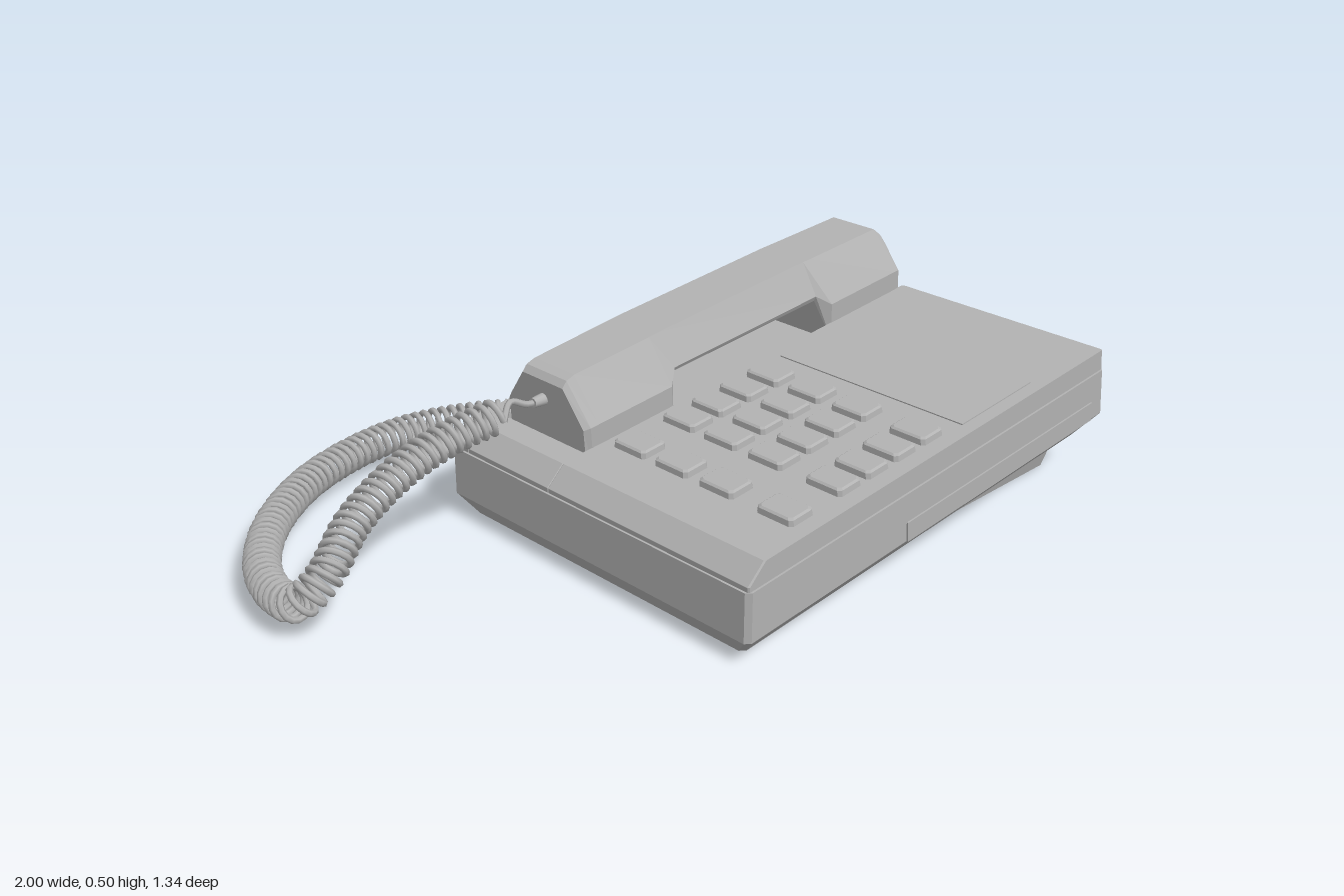
import * as THREE from 'three';

const grey = new THREE.MeshStandardMaterial({ color: 0xb2b2b2 });

// Closed, flat-faced solid through a list of equal-length rings
function loft(name, rings) {
  const pos = [], n = rings[0].length;
  const tri = (a, b, c) => pos.push(...a, ...b, ...c);
  for (let r = 0; r < rings.length - 1; r++) {
    for (let i = 0; i < n; i++) {
      const j = (i + 1) % n, p = rings[r], q = rings[r + 1];
      tri(p[i], p[j], q[j]);
      tri(p[i], q[j], q[i]);
    }
  }
  const first = rings[0], last = rings[rings.length - 1];
  for (let i = 1; i < n - 1; i++) {
    tri(first[0], first[i + 1], first[i]);
    tri(last[0], last[i], last[i + 1]);
  }
  const g = new THREE.BufferGeometry();
  g.setAttribute('position', new THREE.Float32BufferAttribute(pos, 3));
  g.computeVertexNormals();
  const mesh = new THREE.Mesh(g, grey);
  mesh.name = name;
  return mesh;
}

// Stack of rectangles [y, x0, x1, z0, z1] with cut corners
function stack(name, layers, c = 0.004) {
  return loft(name, layers.map(([y, x0, x1, z0, z1]) => [
    [x0, y, z0 + c], [x0, y, z1 - c], [x0 + c, y, z1], [x1 - c, y, z1],
    [x1, y, z1 - c], [x1, y, z0 + c], [x1 - c, y, z0], [x0 + c, y, z0],
  ]));
}

function box(name, x0, x1, y0, y1, z0, z1) {
  const mesh = new THREE.Mesh(new THREE.BoxGeometry(x1 - x0, y1 - y0, z1 - z0), grey);
  mesh.position.set((x0 + x1) / 2, (y0 + y1) / 2, (z0 + z1) / 2);
  mesh.name = name;
  return mesh;
}

// Helix wound around a guide curve
class CoilCurve extends THREE.Curve {
  constructor(guide, turns, radius) {
    super();
    Object.assign(this, { guide, turns, radius, arcLengthDivisions: 6000 });
  }
  getPoint(t, target = new THREE.Vector3()) {
    const tangent = this.guide.getTangentAt(t);
    const side = new THREE.Vector3(0, 1, 0).cross(tangent).normalize();
    const up = tangent.clone().cross(side);
    const a = t * this.turns * Math.PI * 2;
    return target.copy(this.guide.getPointAt(t))
      .addScaledVector(side, Math.cos(a) * this.radius)
      .addScaledVector(up, Math.sin(a) * this.radius);
  }
}

const spline = (pts) => new THREE.CatmullRomCurve3(pts.map((p) => new THREE.Vector3(...p)));

function tube(name, curve, segments, radius, sides) {
  const mesh = new THREE.Mesh(new THREE.TubeGeometry(curve, segments, radius, sides), grey);
  mesh.name = name;
  return mesh;
}

export function createModel() {
  const model = new THREE.Group();
  model.name = 'deskTelephone';

  // Sloping body; everything on it is built level, then tilted
  const body = new THREE.Group();
  body.name = 'body';
  body.position.y = 0.033;
  body.rotation.z = 0.086;
  model.add(body);

  body.add(stack('lowerShell', [
    [0, -0.32, 0.915, -0.27, 0.62],
    [0.055, -0.35, 0.975, -0.315, 0.665],
    [0.178, -0.34, 0.97, -0.315, 0.665],
  ], 0.012));

  // Lid around the handset cradle
  const lid = (name, x0, x1, z0, z1) => stack(name, [
    [0.175, x0, x1, z0, z1],
    [0.19, x0, x1, z0, z1],
    [0.232, x0 < -0.3 ? x0 + 0.052 : x0, x1 - 0.003, z0, z1],
  ]);
  body.add(lid('frontLid', -0.335, 0.966, 0.032, 0.66));
  body.add(lid('backLid', -0.335, 0.966, -0.31, -0.252));
  body.add(lid('leftLid', -0.335, -0.215, -0.256, 0.036));

  // Push buttons
  const keys = new THREE.Group();
  keys.name = 'keys';
  for (const x of [-0.115, 0.045, 0.142, 0.24, 0.338]) {
    for (const z of [0.115, 0.25, 0.39, 0.565]) {
      keys.add(stack('key', [
        [0.23, x - 0.039, x + 0.039, z - 0.053, z + 0.053],
        [0.246, x - 0.037, x + 0.037, z - 0.051, z + 0.051],
        [0.25, x - 0.032, x + 0.032, z - 0.046, z + 0.046],
      ], 0.008));
    }
  }
  body.add(keys);

  // Index card panel, edge drawers and the pull tab
  body.add(box('cardPanel', 0.435, 0.705, 0.23, 0.235, 0.06, 0.625));
  body.add(box('frontDrawer', 0.18, 0.915, 0.055, 0.105, 0.66, 0.669));
  body.add(box('backDrawer', 0.4, 0.9, 0.06, 0.105, -0.319, -0.31));
  body.add(box('pullTab', 0.95, 1.013, 0.137, 0.158, -0.2, -0.01));

  // Handset sections: [x, yBottom, halfBottom, yMid, halfMid, yTop, halfTop]
  const zc = -0.108;
  const sections = [
    [-0.205, 0.18, 0.132, 0.28, 0.132, 0.37, 0.07],
    [-0.19, 0.18, 0.14, 0.284, 0.142, 0.385, 0.07],
    [-0.165, 0.18, 0.14, 0.285, 0.143, 0.391, 0.07],
    [0.075, 0.18, 0.14, 0.285, 0.143, 0.396, 0.073],
    [0.115, 0.3, 0.108, 0.312, 0.115, 0.397, 0.073],
    [0.635, 0.296, 0.108, 0.31, 0.115, 0.396, 0.073],
    [0.665, 0.18, 0.14, 0.285, 0.143, 0.395, 0.073],
    [0.925, 0.18, 0.14, 0.285, 0.143, 0.39, 0.07],
    [0.943, 0.18, 0.138, 0.283, 0.141, 0.37, 0.078],
    [0.95, 0.18, 0.132, 0.28, 0.134, 0.345, 0.09],
  ];
  body.add(loft('handset', sections.map(([x, yb, hb, ym, hm, yt, ht]) => [
    [x, yb, zc + hb], [x, yb, zc - hb], [x, ym, zc - hm],
    [x, yt, zc - ht], [x, yt, zc + ht], [x, ym, zc + hm],
  ])));

  // Wedge feet that keep the body sloped
  const foot = (name, bottom, x1, b0, b1, t0, t1) => model.add(stack(name, [
    [bottom, -0.3, x1 - 0.005, b0, b1],
    [0.112, -0.3, x1, t0, t1],
  ]));
  foot('frontFoot', 0, 0.905, 0.28, 0.545, 0.255, 0.58);
  foot('backFoot', 0, 0.905, -0.2, 0.07, -0.235, 0.09);
  foot('middleFoot', 0.042, 0.87, 0.08, 0.27, 0.08, 0.27);

  // Coiled cord with straight ends
  const guide = spline([
    [-0.36, 0.325, -0.13], [-0.48, 0.3, -0.155], [-0.62, 0.26, -0.16],
    [-0.77, 0.2, -0.135], [-0.89, 0.13, -0.085], [-0.95, 0.085, -0.1],
    [-0.952, 0.07, -0.18], [-0.905, 0.065, -0.31], [-0.77, 0.067, -0.47],
    [-0.56, 0.075, -0.59], [-0.29, 0.085, -0.622], [-0.08, 0.09, -0.545],
    [0.05, 0.1, -0.41],
  ]);
  const coil = new CoilCurve(guide, 84, 0.037);
  model.add(tube('coiledCord', coil, 84 * 14, 0.008, 6));
  model.add(tube('handsetCordEnd', spline([
    [-0.22, 0.333, -0.11], [-0.28, 0.335, -0.112], [-0.33, 0.355, -0.115],
    coil.getPoint(0).toArray(),
  ]), 16, 0.008, 6));
  model.add(tube('baseCordEnd', spline([
    coil.getPoint(1).toArray(), [0.085, 0.13, -0.375], [0.11, 0.145, -0.355], [0.112, 0.13, -0.3],
  ]), 16, 0.008, 6));

  // Strain relief at the handset and socket at the back
  const relief = new THREE.Mesh(new THREE.CylinderGeometry(0.018, 0.012, 0.06, 12), grey);
  relief.name = 'strainRelief';
  relief.rotation.z = -Math.PI / 2;
  relief.position.set(-0.235, 0.334, -0.11);
  model.add(relief);
  model.add(box('cordSocket', 0.085, 0.14, 0.105, 0.15, -0.325, -0.3));

  return model;
}
